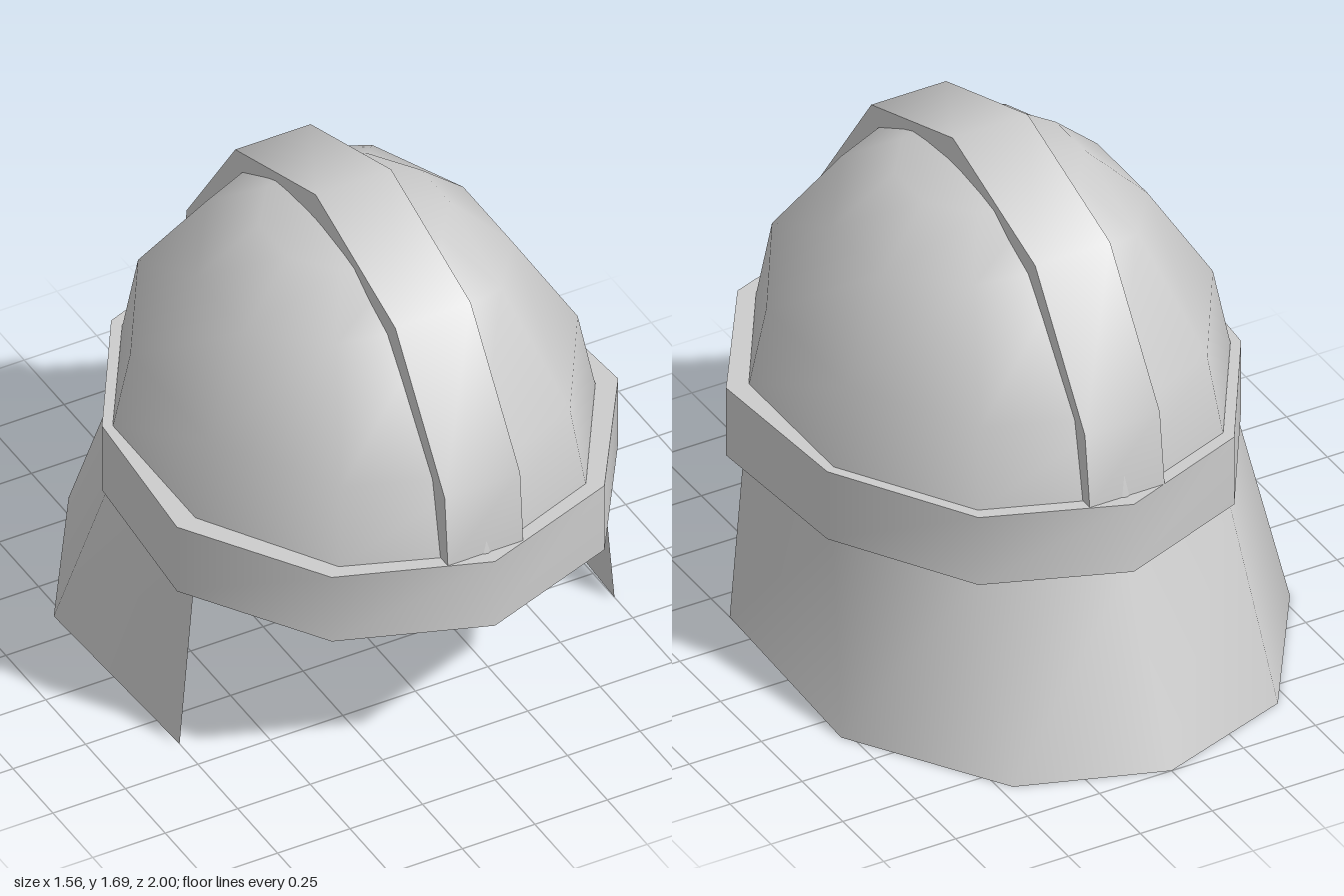
import * as THREE from 'three';
import { toCreasedNormals } from 'three/addons/utils/BufferGeometryUtils.js';

const SIDES = 10;
const CENTER_Z = 0.115;

const material = new THREE.MeshStandardMaterial({ color: 0xcccccc, side: THREE.DoubleSide });

// Ten-sided ring, first corner at the front; lift raises front and back corners
function oval(rx, rz, y, lift = 0, backNarrow = 1) {
  const ring = [];
  for (let i = 0; i < SIDES; i++) {
    const a = (i / SIDES) * Math.PI * 2;
    const c = Math.cos(a);
    const w = c < 0 ? backNarrow : 1;
    ring.push([Math.sin(a) * rx * w, y + lift * c * c, CENTER_Z + c * rz]);
  }
  return ring;
}

// Skin between rows of points, each row given from bottom to top
function loft(rows, closed, crease) {
  const n = rows[0].length;
  const index = [];
  for (let r = 0; r < rows.length - 1; r++) {
    for (let i = 0; i < (closed ? n : n - 1); i++) {
      const j = (i + 1) % n;
      const a = r * n + i, b = r * n + j, c = b + n, d = a + n;
      index.push(a, b, c, a, c, d);
    }
  }
  const geo = new THREE.BufferGeometry();
  geo.setAttribute('position', new THREE.Float32BufferAttribute(rows.flat(2), 3));
  geo.setIndex(index);
  geo.computeVertexNormals();
  return toCreasedNormals(geo, crease);
}

export function createModel() {
  const group = new THREE.Group();
  const add = (name, geo) => {
    const mesh = new THREE.Mesh(geo, material);
    mesh.name = name;
    group.add(mesh);
    return mesh;
  };

  // Domed shell
  const dome = [
    oval(0.725, 0.84, 0.83),
    oval(0.67, 0.79, 1.1),
    oval(0.485, 0.5, 1.38, 0.1),
    oval(0.295, 0.29, 1.565, 0.01),
    oval(0.002, 0.002, 1.625),
  ];
  add('dome', loft(dome, true, 1.0));

  // Thick brow band: inner wall, underside, outer wall, top ledge
  const band = [
    oval(0.725, 0.84, 0.835),
    oval(0.725, 0.84, 0.59),
    oval(0.8, 0.885, 0.59, 0, 0.945),
    oval(0.8, 0.885, 0.835, 0, 0.945),
    oval(0.725, 0.84, 0.835),
  ];
  add('browBand', loft(band, true, 0.9));

  // Flared neck guard, half outlines mirrored across the middle
  const mirrorRow = (half, y) => {
    const full = [...half, ...half.slice(0, -1).reverse().map(([x, z]) => [-x, z])];
    return full.map(([x, z]) => [x, y, z]);
  };
  const hem = mirrorRow([[0.75, 0.385], [0.78, -0.35], [0.46, -0.84], [0, -1]], 0);
  const top = mirrorRow([[0.7, 0.385], [0.7, -0.155], [0.435, -0.585], [0, -0.745]], 0.595);
  add('neckGuard', loft([hem, top], false, 0.9));

  // Crest strip running front to back over the dome
  const outer = [[0.95, 0.83], [0.93, 1.08], [0.62, 1.52], [0.12, 1.69], [-0.385, 1.52], [-0.69, 1.08], [-0.72, 0.83]];
  const inner = [[-0.66, 0.83], [-0.61, 1.09], [-0.34, 1.45], [0.12, 1.6], [0.57, 1.45], [0.84, 1.09], [0.89, 0.83]];
  const profile = new THREE.Shape([...outer, ...inner].map(([z, y]) => new THREE.Vector2(-z, y)));
  const strip = new THREE.ExtrudeGeometry(profile, { depth: 0.26, bevelEnabled: false });
  strip.translate(0, 0, -0.135);
  strip.rotateY(Math.PI / 2);
  add('crestStrip', toCreasedNormals(strip, 0.9));

  return group;
}
